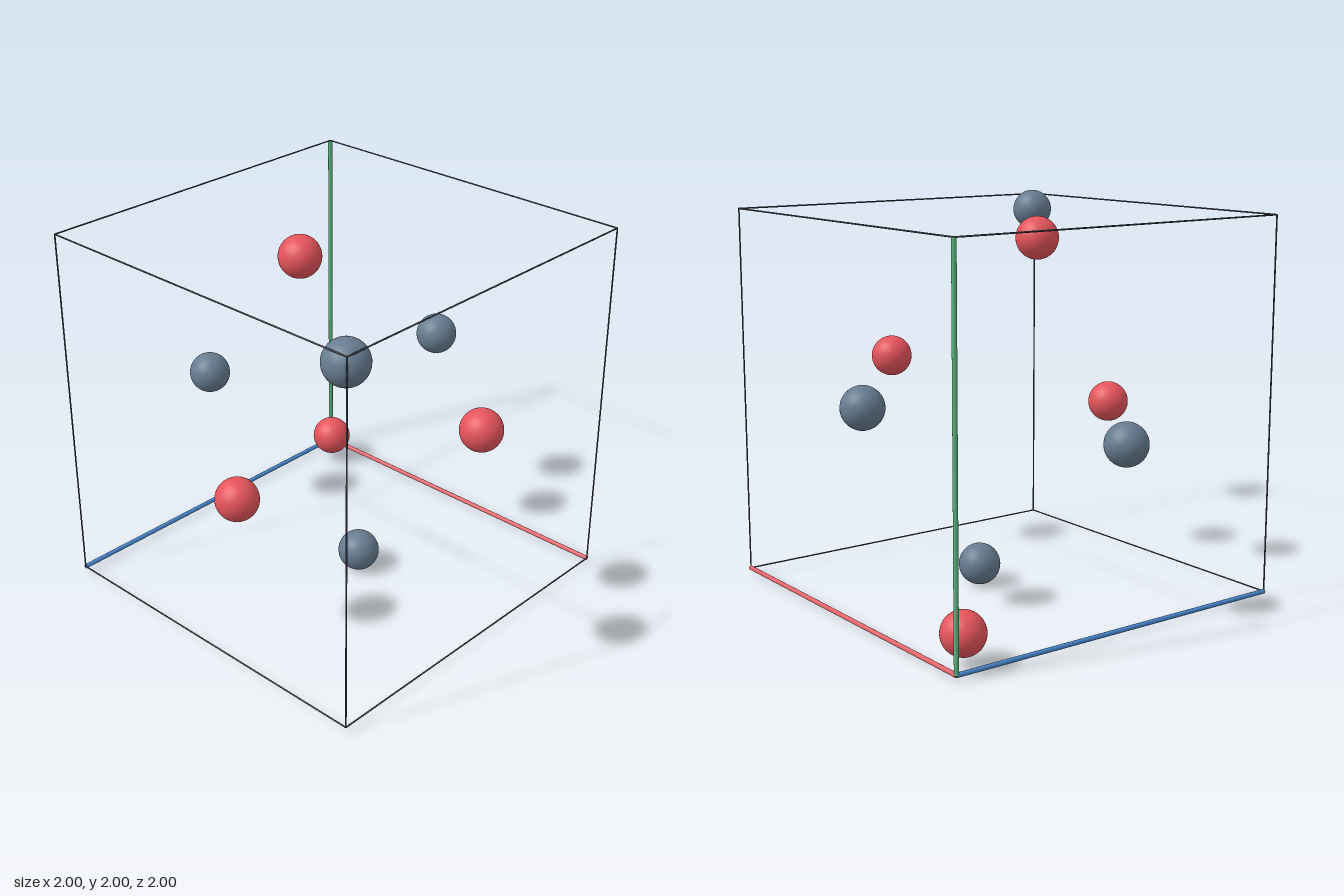
import * as THREE from 'three';

const HALF = 0.971; // half the cell side
const MID = 1;      // height of the cell centre
const ATOM_RADIUS = 0.11;

function material(name, color) {
  const m = new THREE.MeshStandardMaterial({ color });
  m.name = name;
  return m;
}

export function createModel() {
  const red = material('atom red', 0xe5545b);
  const slate = material('atom slate', 0x667c90);
  const charcoal = material('edge charcoal', 0x454d57);
  const axisMaterials = [
    material('axis red', 0xe5656c),
    material('axis green', 0x5cb37e),
    material('axis blue', 0x4a88d0),
  ];

  const model = new THREE.Group();
  model.name = 'crystalCell';
  const cell = new THREE.Group();
  cell.name = 'cell';
  cell.position.y = MID;
  model.add(cell);

  // Four atoms of each kind, related by threefold symmetry
  const sphere = new THREE.SphereGeometry(ATOM_RADIUS, 40, 28);
  function addAtoms(name, mat, positions) {
    const group = new THREE.Group();
    group.name = name;
    for (const p of positions) {
      const atom = new THREE.Mesh(sphere, mat);
      atom.name = 'atom';
      atom.position.set(...p);
      group.add(atom);
    }
    cell.add(group);
  }
  const r = 0.13, R = 0.841;
  addAtoms('redAtoms', red, [[-R, -R, -R], [-r, R, r], [R, r, -r], [r, -r, R]]);
  const s = 0.082, S = 0.889;
  addAtoms('slateAtoms', slate, [[S, S, S], [-s, s, -S], [-S, -s, s], [s, -S, -s]]);

  // Twelve cell edges; the three meeting at the origin corner are coloured axes
  const axisRod = new THREE.CylinderGeometry(0.012, 0.012, 2 * HALF, 16);
  const edgeRod = new THREE.CylinderGeometry(0.004, 0.004, 2 * HALF, 8);
  const axisNames = ['xAxis', 'yAxis', 'zAxis'];
  for (let axis = 0; axis < 3; axis++) {
    for (const a of [-1, 1]) {
      for (const b of [-1, 1]) {
        const isAxis = a < 0 && b < 0;
        const rod = new THREE.Mesh(isAxis ? axisRod : edgeRod, isAxis ? axisMaterials[axis] : charcoal);
        rod.name = isAxis ? axisNames[axis] : 'cellEdge';
        const p = [0, 0, 0];
        p[(axis + 1) % 3] = a * HALF;
        p[(axis + 2) % 3] = b * HALF;
        rod.position.set(...p);
        if (axis === 0) rod.rotation.z = -Math.PI / 2;
        if (axis === 2) rod.rotation.x = Math.PI / 2;
        cell.add(rod);
      }
    }
  }
  return model;
}
